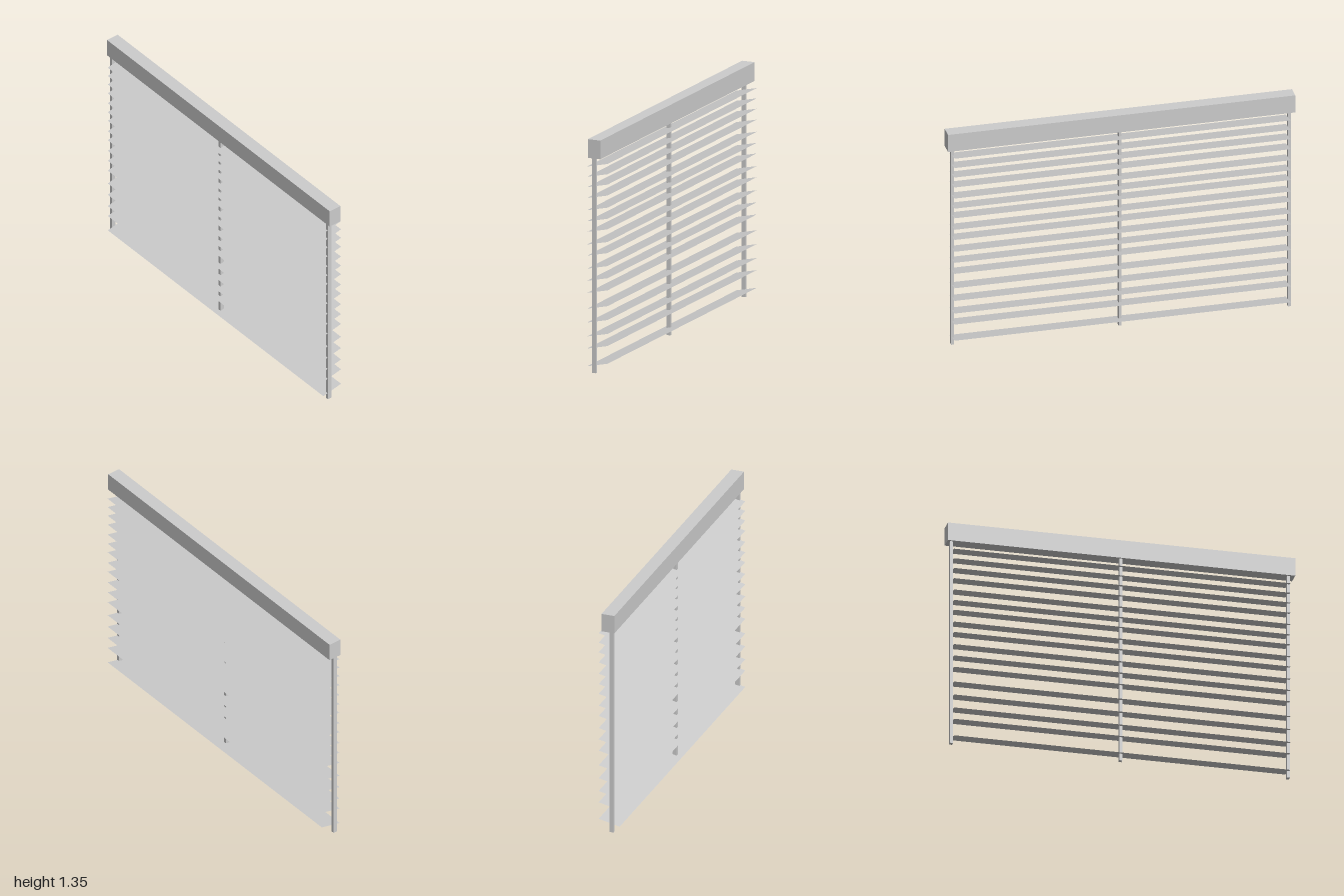
import * as THREE from 'three';

export function createModel() {
  const blind = new THREE.Group();
  blind.name = 'venetianBlind';

  const grey = new THREE.MeshStandardMaterial({ color: 0xcccccc, side: THREE.DoubleSide });
  grey.name = 'light grey';

  const add = (name, geometry, x, y, z) => {
    const mesh = new THREE.Mesh(geometry, grey);
    mesh.name = name;
    mesh.position.set(x, y, z);
    blind.add(mesh);
    return mesh;
  };

  // Head box across the top
  add('headBox', new THREE.BoxGeometry(2, 0.108, 0.077), 0, 1.299, 0.005);

  // Three upright guides, from the floor to the head box
  const guide = new THREE.BoxGeometry(0.017, 1.245, 0.025);
  const guides = { rightGuide: -0.976, middleGuide: -0.002, leftGuide: 0.963 };
  for (const [name, x] of Object.entries(guides)) add(name, guide, x, 0.6225, 0.02);

  // Paper-thin slats, unevenly spaced, each tilted with its front edge down
  const depth = 0.126, drop = 0.028;
  const slat = new THREE.PlaneGeometry(1.936, Math.hypot(depth, drop));
  slat.rotateX(-Math.PI / 2 + Math.atan2(drop, depth));
  const heights = [0.048, 0.15, 0.22, 0.3, 0.38, 0.471, 0.541, 0.611, 0.686,
    0.75, 0.823, 0.884, 0.948, 1.018, 1.081, 1.141, 1.2];
  heights.forEach((y, i) => add(`slat${i + 1}`, slat, 0, y, 0));

  return blind;
}
